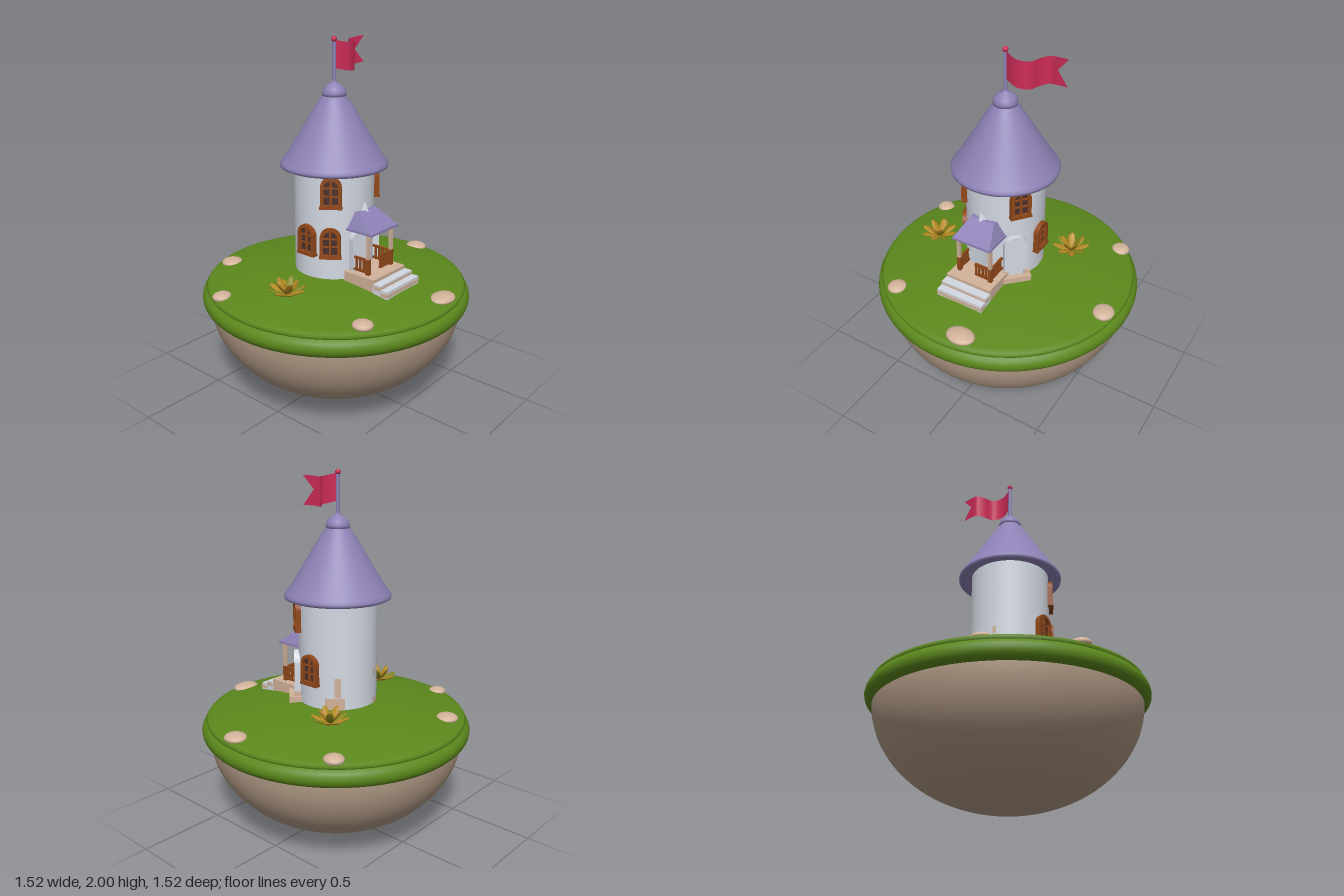
import * as THREE from 'three';

const material = (name, color, side = THREE.FrontSide) => {
  const m = new THREE.MeshStandardMaterial({ color, side });
  m.name = name;
  return m;
};

export function createModel() {
  const mats = {
    grass: material('grass green', 0x5c881c),
    rock: material('earth brown', 0xb39c87),
    wall: material('plaster white', 0xd3d8e2),
    roof: material('roof lilac', 0x8e82b6, THREE.DoubleSide),
    wood: material('warm wood', 0x91491a),
    dark: material('dark wood', 0x4a302d),
    stone: material('pale stone', 0xd2b39b),
    flag: material('flag crimson', 0xcf2c58, THREE.DoubleSide),
    leaf: material('golden leaf', 0xb48a22),
    olive: material('olive leaf', 0x85861c),
  };
  const model = new THREE.Group();
  model.name = 'towerIsland';

  const add = (parent, name, geo, mat, x = 0, y = 0, z = 0) => {
    const mesh = new THREE.Mesh(geo, mat);
    mesh.name = name;
    mesh.position.set(x, y, z);
    parent.add(mesh);
    return mesh;
  };
  const box = (parent, name, mat, w, h, d, x, y, z) =>
    add(parent, name, new THREE.BoxGeometry(w, h, d), mat, x, y, z);
  const group = (parent, name, x = 0, y = 0, z = 0) => {
    const g = new THREE.Group();
    g.name = name;
    g.position.set(x, y, z);
    parent.add(g);
    return g;
  };
  const lathe = (pts, seg = 64) =>
    new THREE.LatheGeometry(pts.map(([r, y]) => new THREE.Vector2(r, y)), seg);
  const groundY = (x, z) => 0.742 - 0.16 * (x * x + z * z);

  // Floating island: bowl of earth, grass rim and gentle dome
  const bowl = [];
  for (let i = 0; i <= 24; i++) {
    const a = (i / 24) * Math.PI / 2;
    bowl.push([0.72 * Math.sin(a), 0.56 - 0.56 * Math.cos(a)]);
  }
  add(model, 'earthBowl', lathe(bowl), mats.rock);
  add(model, 'grassRim', new THREE.TorusGeometry(0.705, 0.055, 20, 72).rotateX(Math.PI / 2),
    mats.grass, 0, 0.585, 0);
  const dome = [[0.7, 0.61], [0.728, 0.63], [0.735, 0.645], [0.726, 0.657]];
  for (let r = 0.7; r > 0.01; r -= 0.07) dome.push([r, groundY(r, 0)]);
  dome.push([0, groundY(0, 0)]);
  add(model, 'grassDome', lathe(dome), mats.grass);

  // Boulders half sunk in the grass: x, z, half width, half depth
  [[-0.28, -0.57, 0.062, 0.062], [0.515, -0.45, 0.053, 0.055], [-0.63, -0.265, 0.054, 0.05],
    [0.665, 0.1, 0.06, 0.064], [-0.41, 0.52, 0.054, 0.056], [0.11, 0.65, 0.082, 0.062],
  ].forEach(([x, z, w, d]) => {
    const b = add(model, 'boulder', new THREE.SphereGeometry(1, 20, 14), mats.stone, x, groundY(x, z), z);
    b.scale.set(w, 0.026, d);
  });

  // Leafy plants: a low ring and an upright ring
  const leafGeo = new THREE.SphereGeometry(1, 12, 8);
  const plant = (px, pz, spin) => {
    const g = group(model, 'plant', px, groundY(px, pz), pz);
    [[8, 0.4, 0.055], [5, 0.95, 0.05]].forEach(([n, tilt, len], ring) => {
      for (let i = 0; i < n; i++) {
        const pivot = group(g, 'leafPivot');
        pivot.rotation.order = 'YXZ';
        pivot.rotation.set(-tilt, spin + (i + ring * 0.4) * 2 * Math.PI / n, 0);
        const l = add(pivot, 'leaf', leafGeo, i % 4 === 1 ? mats.olive : mats.leaf, 0, 0, len + 0.007);
        l.scale.set(0.021, 0.007, len);
      }
    });
  };
  plant(-0.455, 0.05, 0.2);
  plant(0.295, -0.225, 0.5);

  // Tower body and conical roof with cap, pole and ball
  const tower = group(model, 'tower', -0.015, 0, 0);
  const R = 0.22;
  add(tower, 'towerWall', new THREE.CylinderGeometry(R, R, 0.65, 64, 1, true), mats.wall, 0, 1.035, 0);
  add(tower, 'roofCone', lathe([[0.2, 1.345], [0.25, 1.325], [0.28, 1.314], [0.293, 1.32], [0.295, 1.334],
    [0.285, 1.35], [0.262, 1.38], [0.2, 1.478], [0.142, 1.575], [0.09, 1.66], [0.058, 1.7]]), mats.roof);
  add(tower, 'roofCap', lathe([[0.05, 1.688], [0.064, 1.695], [0.066, 1.71], [0.058, 1.732],
    [0.038, 1.752], [0.014, 1.762], [0.012, 1.775]], 32), mats.roof);
  add(tower, 'flagPole', new THREE.CylinderGeometry(0.01, 0.011, 0.23, 16), mats.roof, 0, 1.865, 0);
  add(tower, 'poleBall', new THREE.SphereGeometry(0.015, 16, 12), mats.flag, 0, 1.985, 0);

  // Waving swallow-tailed flag
  const wave = new THREE.CatmullRomCurve3([[0, 0, 0], [0.045, 0, 0.025], [0.09, 0, 0.037], [0.145, 0, 0.02],
    [0.175, 0, -0.04], [0.205, 0, -0.072], [0.25, 0, -0.068], [0.318, 0, -0.055],
  ].map((p) => new THREE.Vector3(...p)));
  const flagGeo = new THREE.PlaneGeometry(1, 1, 32, 8);
  const fp = flagGeo.attributes.position;
  for (let i = 0; i < fp.count; i++) {
    const u = fp.getX(i) + 0.5, v = fp.getY(i);
    const notch = Math.max(0, u - 0.7) / 0.3 * 0.17 * (1 - 2 * Math.abs(v));
    const p = wave.getPointAt(u - notch);
    fp.setXYZ(i, p.x, 1.897 + v * 0.145 - 0.016 * Math.sin(u * 4.2) + 0.012 * (1 - u), p.z);
  }
  flagGeo.computeVertexNormals();
  add(tower, 'flag', flagGeo, mats.flag);

  // Arched openings set around the wall
  const archPath = (P, w, h, y0 = 0) => {
    const p = new P();
    p.moveTo(-w / 2, y0);
    p.lineTo(w / 2, y0);
    p.lineTo(w / 2, h - w / 2);
    p.absarc(0, h - w / 2, w / 2, 0, Math.PI, false);
    p.lineTo(-w / 2, y0);
    return p;
  };
  const archFrame = (w, h, t, depth, sill) => {
    const s = archPath(THREE.Shape, w, h);
    s.holes.push(archPath(THREE.Path, w - 2 * t, h - t, sill));
    return new THREE.ExtrudeGeometry(s, { depth, bevelEnabled: false, curveSegments: 12 });
  };
  const panel = (w, h) => new THREE.ExtrudeGeometry(archPath(THREE.Shape, w, h),
    { depth: 0.025, bevelEnabled: false, curveSegments: 12 });
  const onWall = (name, deg, y) => {
    const g = group(tower, name, 0, y, 0);
    g.rotation.y = THREE.MathUtils.degToRad(deg);
    return g;
  };

  const windowAt = (deg, y, w = 0.112, h = 0.17) => {
    const g = onWall('window', deg, y);
    add(g, 'windowFrame', archFrame(w, h, 0.018, 0.04, 0.018), mats.wood, 0, 0, 0.202);
    add(g, 'windowPane', panel(w - 0.03, h - 0.015), mats.dark, 0, 0, 0.2);
    box(g, 'mullion', mats.wood, 0.012, h - 0.02, 0.012, 0, h / 2, 0.229);
    [0.38, 0.64].forEach((f) => box(g, 'glazingBar', mats.wood, w - 0.03, 0.008, 0.01, 0, h * f, 0.228));
    box(g, 'windowSill', mats.wood, w + 0.008, 0.014, 0.042, 0, 0.004, 0.224);
  };
  [[52, 1.14], [-54, 1.14], [90, 0.865], [-90, 0.865], [-55, 0.86]].forEach(([d, y]) => windowAt(d, y));

  const doorAt = (deg, y, w, h) => {
    const g = onWall('door', deg, y);
    add(g, 'doorSurround', archFrame(w, h, 0.02, 0.045, -0.001), mats.wall, 0, 0, 0.2);
    add(g, 'doorLeaf', panel(w - 0.036, h - 0.018), mats.dark, 0, 0, 0.2);
    [-0.02, 0.02].forEach((x) => box(g, 'doorBatten', mats.wood, 0.005, h * 0.7, 0.006, x, h * 0.4, 0.226));
    return g;
  };
  const sideDoor = doorAt(45, 0.755, 0.13, 0.262);
  box(sideDoor, 'sideDoorStep', mats.stone, 0.16, 0.035, 0.08, 0, -0.007, 0.235);
  [-1, 1].forEach((s) => box(sideDoor, 'doorBaseStone', mats.stone, 0.025, 0.035, 0.05, s * 0.056, 0.02, 0.225));
  doorAt(-12, 0.785, 0.125, 0.23);

  // Exposed stone patches on the wall: angle, height, width angle, size
  [[128, 0.765, 0.5, 0.07], [132, 0.86, 0.16, 0.11], [-160, 0.745, 0.2, 0.05], [-165, 0.92, 0.1, 0.04],
  ].forEach(([deg, y, arc, h]) => add(tower, 'stonePatch', new THREE.CylinderGeometry(R + 0.003, R + 0.003, h,
    12, 1, true, THREE.MathUtils.degToRad(deg) - arc / 2, arc), mats.stone, 0, y, 0));

  // Porch: landing, steps, posts, rails and hipped canopy
  const porch = group(tower, 'porch');
  box(porch, 'landing', mats.stone, 0.28, 0.07, 0.2, 0, 0.752, 0.29);
  box(porch, 'middleStep', mats.wall, 0.285, 0.06, 0.05, 0, 0.738, 0.411);
  box(porch, 'lowerStep', mats.wall, 0.285, 0.05, 0.05, 0, 0.721, 0.455);
  box(porch, 'stepEdge', mats.stone, 0.287, 0.02, 0.046, 0, 0.748, 0.415);
  box(porch, 'stepEdge', mats.stone, 0.287, 0.02, 0.046, 0, 0.722, 0.46);
  [-1, 1].forEach((s) => {
    box(porch, 'porchPost', mats.stone, 0.018, 0.235, 0.018, s * 0.1, 0.902, 0.32);
    box(porch, 'postFoot', mats.wood, 0.022, 0.09, 0.022, s * 0.1, 0.83, 0.32);
    box(porch, 'sideRail', mats.wood, 0.012, 0.012, 0.12, s * 0.1, 0.868, 0.26);
    box(porch, 'sideRailFoot', mats.wood, 0.012, 0.012, 0.12, s * 0.1, 0.8, 0.26);
    for (let i = 0; i < 4; i++)
      box(porch, 'sideBaluster', mats.wood, 0.01, 0.075, 0.01, s * 0.1, 0.83, 0.22 + i * 0.024);
  });
  [0.8, 0.868].forEach((y) => box(porch, 'frontRail', mats.wood, 0.1, 0.012, 0.012, 0.052, y, 0.32));
  for (let i = 0; i < 5; i++)
    box(porch, 'frontBaluster', mats.wood, 0.01, 0.075, 0.01, 0.008 + i * 0.021, 0.83, 0.32);

  const canopy = new THREE.BoxGeometry(0.235, 0.09, 0.17);
  const cp = canopy.attributes.position;
  for (let i = 0; i < cp.count; i++) {
    if (cp.getY(i) > 0) cp.setXYZ(i, Math.sign(cp.getX(i)) * 0.074, 0.045, cp.getZ(i) > 0 ? -0.03 : -0.085);
  }
  canopy.computeVertexNormals();
  add(porch, 'canopy', canopy, mats.roof, 0, 1.064, 0.268);
  box(porch, 'canopyEave', mats.roof, 0.238, 0.012, 0.172, 0, 1.018, 0.268);
  add(porch, 'canopyFinial', new THREE.ConeGeometry(0.028, 0.05, 4), mats.wall, -0.01, 1.13, 0.222);

  return model;
}
